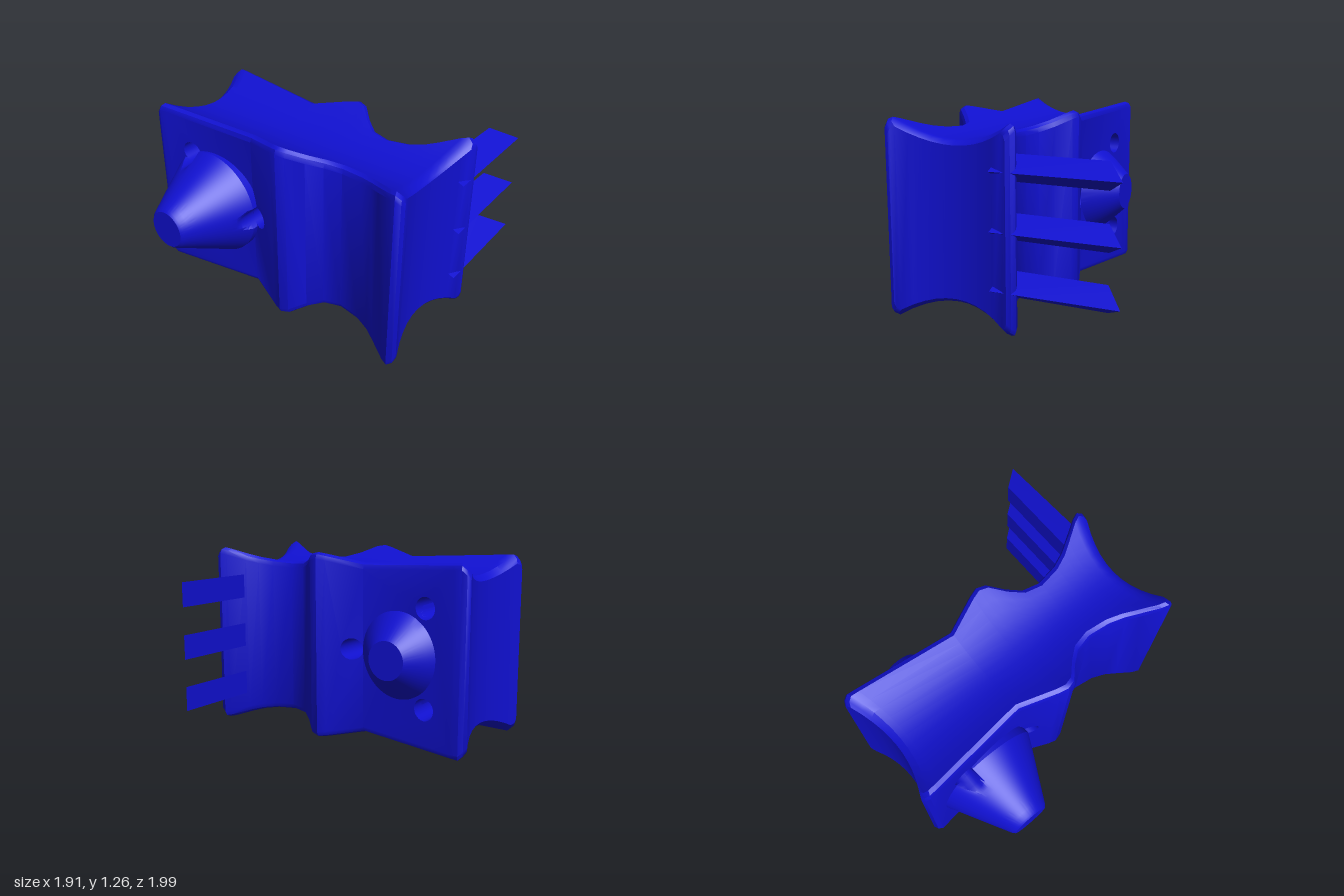
import * as THREE from 'three';
import { mergeGeometries, toCreasedNormals } from 'three/addons/utils/BufferGeometryUtils.js';

const XC = -0.135, YC = 0.64, BEVEL = 0.04;
const BOSS_Z = -0.52, HOLE_R = 0.072, HOLE_SEG = 24;
const HOLES = [[-0.14, 0.64], [-0.7, 0.96], [-0.7, 0.32]]; // [z, y]

// Half width of the body along its length: [z, half width]
const WAIST = [[-1, 0.375], [-0.985, 0.4], [-0.955, 0.413], [-0.9, 0.408], [-0.21, 0.335], [0.03, 0.43],
  [0.09, 0.447], [0.15, 0.43], [0.24, 0.345], [0.33, 0.277], [0.45, 0.25], [0.6, 0.272], [0.7, 0.31],
  [0.78, 0.355], [0.9, 0.425], [0.945, 0.442], [0.98, 0.428], [0.99, 0.4]];

function halfWidth(z) {
  const i = Math.max(1, WAIST.findIndex(p => p[0] >= z));
  const [[z0, h0], [z1, h1]] = [WAIST[i - 1], WAIST[i]];
  return h0 + (h1 - h0) * (z - z0) / (z1 - z0);
}

function flip(geo) {
  const a = geo.index.array;
  for (let i = 0; i < a.length; i += 3) [a[i], a[i + 1]] = [a[i + 1], a[i]];
  return geo;
}

// Surface through rows of points
function grid(rows) {
  const n = rows[0].length, index = [];
  for (let i = 0; i < rows.length - 1; i++) {
    for (let j = 0; j < n - 1; j++) {
      const a = i * n + j, d = a + n;
      index.push(a, a + 1, d + 1, a, d + 1, d);
    }
  }
  const geo = new THREE.BufferGeometry();
  geo.setAttribute('position', new THREE.Float32BufferAttribute(rows.flat(2), 3));
  geo.setIndex(index);
  return geo;
}

function finish(parts, crease) {
  const plain = parts.map(p => {
    const g = p.toNonIndexed();
    g.deleteAttribute('uv');
    g.deleteAttribute('normal');
    return g;
  });
  return toCreasedNormals(mergeGeometries(plain), crease);
}

// Height above the middle at one point of the saddle-shaped top
function saddle(x, z, drop) {
  const edge = Math.max(0, Math.abs(z) - 0.95) / 0.045;
  return 0.5 + 0.78 * x * x - drop - 0.035 * Math.min(1, edge * edge);
}

// One row across the top (side 1) or bottom (side -1), with rounded edges
function acrossRow(z, h, side) {
  const half = [[h, BEVEL], [h - 0.3 * BEVEL, 0.3 * BEVEL], [h - BEVEL, 0]];
  for (const u of [0.8, 0.6, 0.4, 0.2]) half.push([(h - BEVEL) * u, 0]);
  const row = [...half, [0, 0], ...half.map(([x, d]) => [-x, d]).reverse()];
  const bow = THREE.MathUtils.smoothstep(Math.abs(z), 0.6, 1) * 0.095 * Math.sign(z);
  return row.map(([x, drop]) => {
    const xe = Math.sign(x) * Math.min(Math.abs(x), h - BEVEL);
    return [XC + x, YC + side * saddle(xe, z, drop), z - bow * (1 - (x / h) ** 2)];
  });
}

function holePoints([z, y]) {
  return Array.from({ length: HOLE_SEG + 1 }, (_, i) => {
    const a = i / HOLE_SEG * Math.PI * 2;
    return [z + HOLE_R * Math.cos(a), y + HOLE_R * Math.sin(a)];
  });
}

// Flat side panel between two neighbouring stations, pierced by its holes
function sidePanel([z0, h0], [z1, h1], side) {
  const e0 = saddle(h0 - BEVEL, z0, BEVEL), e1 = saddle(h1 - BEVEL, z1, BEVEL);
  const shape = new THREE.Shape([[-z1, YC - e1], [-z0, YC - e0], [-z0, YC + e0], [-z1, YC + e1]]
    .map(p => new THREE.Vector2(...p)));
  for (const hole of HOLES.filter(p => p[0] > z0 && p[0] < z1)) {
    shape.holes.push(new THREE.Path(holePoints(hole).slice(0, -1).map(([z, y]) => new THREE.Vector2(-z, y))));
  }
  const geo = new THREE.ShapeGeometry(shape), p = geo.attributes.position;
  for (let i = 0; i < p.count; i++) {
    const z = -p.getX(i), h = h0 + (h1 - h0) * (z - z0) / (z1 - z0);
    p.setXYZ(i, XC + side * h, p.getY(i), z);
  }
  return side > 0 ? geo : flip(geo);
}

function bodyGeometry() {
  const top = WAIST.map(([z, h]) => acrossRow(z, h, 1));
  const bottom = WAIST.map(([z, h]) => acrossRow(z, h, -1));
  const last = WAIST.length - 1;
  const parts = [grid(top), flip(grid(bottom)),
    grid([top[last], bottom[last]]), flip(grid([top[0], bottom[0]]))];
  for (let i = 0; i < last; i++) {
    for (const side of [1, -1]) parts.push(sidePanel(WAIST[i], WAIST[i + 1], side));
  }
  // Hole walls
  for (const hole of HOLES) {
    const pts = holePoints(hole);
    parts.push(grid([-1, 1].map(s => pts.map(([z, y]) => [XC + s * halfWidth(z), y, z]))));
  }
  return finish(parts, 0.55);
}

// Radius of the boss, cut back where a hole runs past it
function grooved(r, angle) {
  for (const [z, y] of HOLES) {
    const d = Math.hypot(z - BOSS_Z, y - YC);
    const t = angle - Math.atan2(y - YC, z - BOSS_Z);
    const s = HOLE_R ** 2 - (d * Math.sin(t)) ** 2;
    if (s > 0 && Math.cos(t) > 0) r = Math.min(r, d * Math.cos(t) - Math.sqrt(s));
  }
  return r;
}

// Double cone passing through the body
function bossGeometry() {
  const profile = [[-0.96, 0], [-0.96, 0.125], [-0.945, 0.14]];
  for (let i = 1; i <= 12; i++) profile.push([-0.945 + i * 0.035, 0.14 + i * 0.0187]);
  profile.push([-0.4, 0.36], [0.15, 0.345], [0.2, 0.31], [0.25, 0.27], [0.3, 0.23], [0.4, 0.14], [0.415, 0.125], [0.415, 0]);
  const rows = profile.map(([x, r]) => Array.from({ length: 121 }, (_, j) => {
    const a = j / 120 * Math.PI * 2, q = grooved(r, a);
    return [x, YC + q * Math.sin(a), BOSS_Z + q * Math.cos(a)];
  }));
  return finish([flip(grid(rows))], 0.5);
}

// Three-sided blade with a slanted tip
function bladeGeometry() {
  const root = [[0.15, 0, 0.985], [0.15, 0.083, 0.795], [0.15, -0.083, 0.795]];
  const tip = [[0.955, 0, 0.96], [0.82, 0.083, 0.8], [0.82, -0.083, 0.8]];
  const walls = flip(grid([root, tip].map(r => [...r, r[0]])));
  const end = grid([[tip[0], tip[2]], [tip[0], tip[1]]]);
  return finish([walls, flip(end)], 0.3);
}

export function createModel() {
  const group = new THREE.Group();
  const material = new THREE.MeshStandardMaterial({ color: 0x1010d0 });
  const add = (name, geometry) => {
    const mesh = new THREE.Mesh(geometry, material);
    mesh.name = name;
    group.add(mesh);
    return mesh;
  };
  add('body', bodyGeometry());
  add('boss', bossGeometry());
  const blade = bladeGeometry();
  [['upperBlade', 0.993], ['middleBlade', 0.64], ['lowerBlade', 0.287]].forEach(([name, y]) => {
    add(name, blade).position.y = y;
  });
  return group;
}
